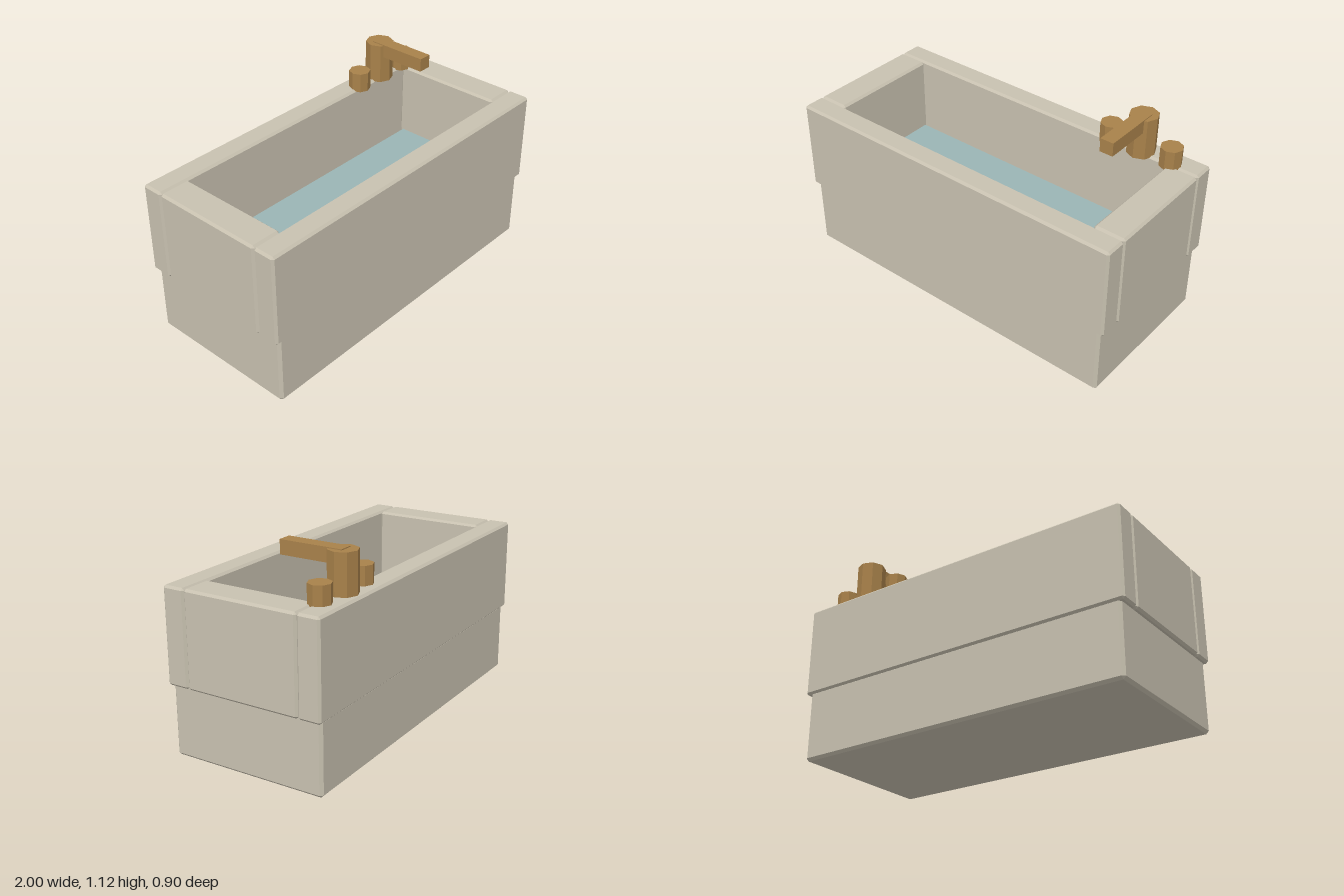
import * as THREE from 'three';
import { ConvexGeometry } from 'three/addons/geometries/ConvexGeometry.js';

// Box given by its min and max corners, with flat chamfers of size c
function chamferBox(min, max, c) {
  const half = min.map((v, i) => (max[i] - v) / 2);
  const points = [];
  for (const sx of [-1, 1]) for (const sy of [-1, 1]) for (const sz of [-1, 1]) {
    const s = [sx, sy, sz];
    for (let face = 0; face < 3; face++) {
      points.push(new THREE.Vector3(...half.map((h, i) => s[i] * (i === face ? h : h - c))));
    }
  }
  return new ConvexGeometry(points).translate(...min.map((v, i) => v + half[i]));
}

export function createModel() {
  const group = new THREE.Group();
  group.name = 'bathtub';

  const stone = new THREE.MeshStandardMaterial({ color: 0xc8c1b0 });
  stone.name = 'stone';
  const brass = new THREE.MeshStandardMaterial({ color: 0xa8814a });
  brass.name = 'brass';
  const waterBlue = new THREE.MeshStandardMaterial({ color: 0x9ab5b5 });
  waterBlue.name = 'water blue';

  const add = (name, geometry, material) => {
    const mesh = new THREE.Mesh(geometry, material);
    mesh.name = name;
    group.add(mesh);
  };

  // Tub body: a plinth carrying four chamfered walls
  add('base', chamferBox([-0.975, 0, -0.437], [0.975, 0.4, 0.437], 0.015), stone);
  add('frontWall', chamferBox([-1, 0.385, 0.322], [1, 0.9, 0.448], 0.012), stone);
  add('backWall', chamferBox([-1, 0.385, -0.448], [1, 0.9, -0.322], 0.012), stone);
  add('leftWall', chamferBox([0.825, 0.385, -0.322], [1, 0.9, 0.322], 0.012), stone);
  add('rightWall', chamferBox([-1, 0.385, -0.322], [-0.825, 0.9, 0.322], 0.012), stone);

  // Water slab inside the basin
  add('water', chamferBox([-0.81, 0.4, -0.287], [0.81, 0.5, 0.283], 0.01), waterBlue);

  // Eight-sided taps and spout column
  const post = (name, x, z, r, y0, y1) => {
    const geometry = new THREE.CylinderGeometry(r, r, y1 - y0, 8).toNonIndexed();
    geometry.computeVertexNormals();
    add(name, geometry.translate(x, (y0 + y1) / 2, z), brass);
  };
  post('rightTap', 0.47, -0.34, 0.06, 0.89, 1.0);
  post('leftTap', 0.83, -0.34, 0.06, 0.89, 1.0);
  post('spoutColumn', 0.65, -0.35, 0.078, 0.89, 1.115);

  // Spout reaching over the basin
  add('spout', new THREE.BoxGeometry(0.076, 0.075, 0.345).translate(0.65, 1.0825, -0.1925), brass);

  return group;
}
